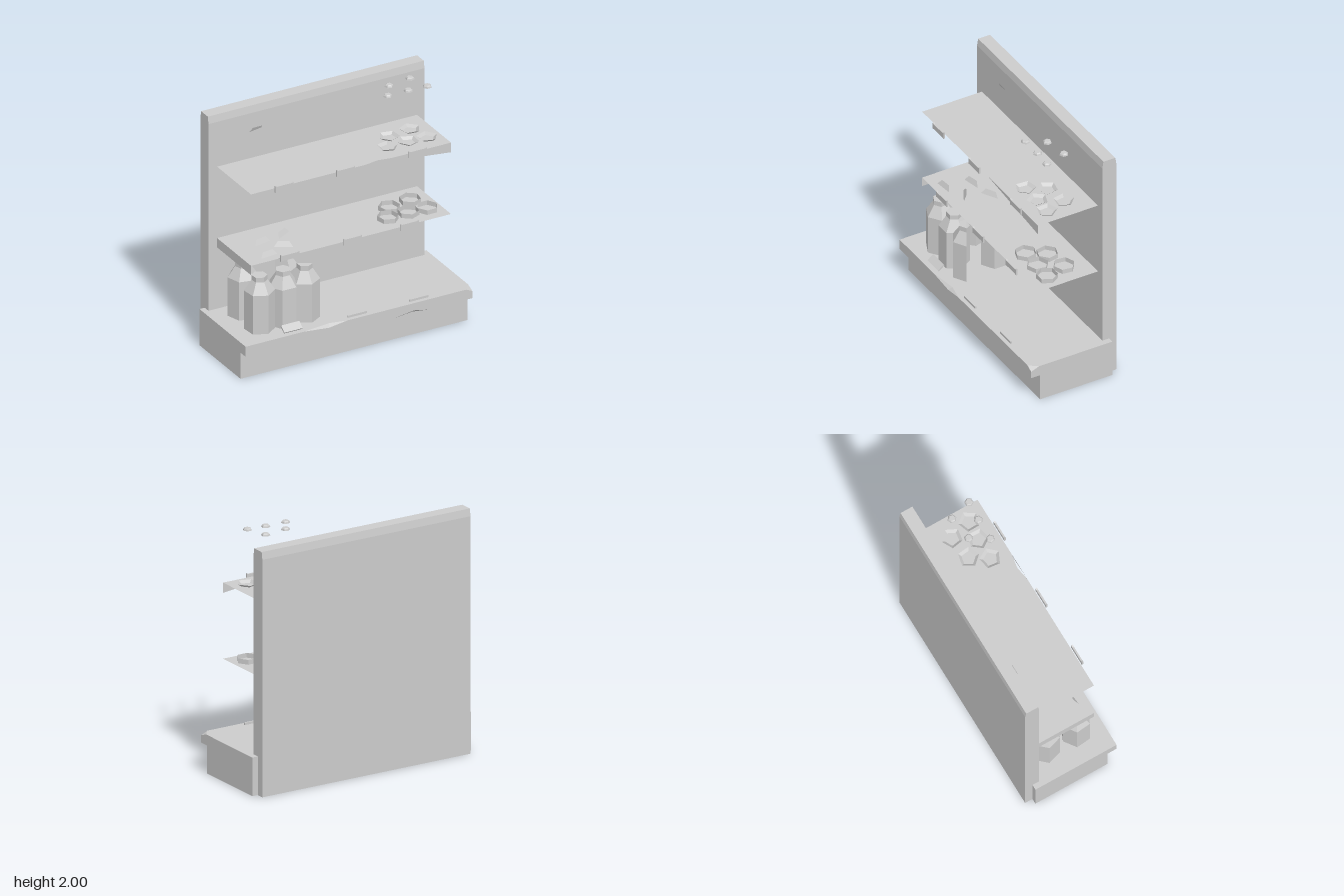
import * as THREE from 'three';

const mat = new THREE.MeshStandardMaterial({ color: 0xcccccc, flatShading: true, side: THREE.DoubleSide });

export function createModel() {
  const root = new THREE.Group();

  const add = (name, geo, x = 0, y = 0, z = 0, parent = root) => {
    const m = new THREE.Mesh(geo, mat);
    m.name = name;
    m.position.set(x, y, z);
    parent.add(m);
    return m;
  };

  // Flat polygon through coplanar 3D points; drop = axis ignored while triangulating
  const panel = (name, pts, drop, parent) => {
    const keep = [0, 1, 2].filter((a) => a !== drop);
    const flat = pts.map((p) => new THREE.Vector2(p[keep[0]], p[keep[1]]));
    const geo = new THREE.BufferGeometry();
    geo.setAttribute('position', new THREE.Float32BufferAttribute(pts.flat(), 3));
    // Keep the winding of the listed corners
    const cw = THREE.ShapeUtils.isClockWise(flat);
    if (cw) flat.reverse();
    const n = pts.length - 1;
    const tris = THREE.ShapeUtils.triangulateShape(flat, []);
    geo.setIndex(tris.flat().map((i) => (cw ? n - i : i)));
    const g = geo.toNonIndexed();
    g.computeVertexNormals();
    return add(name, g, 0, 0, 0, parent);
  };

  // Turned shape with few sides, from [radius, height] pairs
  const turned = (profile, sides, start = 0, sweep = Math.PI * 2) =>
    new THREE.LatheGeometry(profile.map((p) => new THREE.Vector2(...p)), sides, start, sweep);

  // Back wall with a small bevel along its top edges
  const wall = new THREE.Shape(
    [[0.27, 0], [0.27, 1.92], [0.28, 1.98], [0.385, 1.98], [0.395, 1.92], [0.395, 0]]
      .map((p) => new THREE.Vector2(...p)));
  const wallGeo = new THREE.ExtrudeGeometry(wall, { depth: 1.895, bevelEnabled: false });
  wallGeo.rotateY(Math.PI / 2);
  add('backWall', wallGeo, -0.955);

  // Plinth, hollow underneath, with chipped lip edges
  const base = new THREE.Group();
  base.name = 'base';
  root.add(base);
  const L = -1, R = 0.99, B = -0.33, F = 0.31, lipZ = 0.39, lipY = 0.225, top = 0.312;
  panel('baseTop', [[L, top, lipZ], [-0.49, top, lipZ], [-0.25, top, 0.36], [-0.11, top, lipZ],
    [0.935, top, lipZ], [R, top, 0.32], [R, top, B], [L, top, B]], 1, base);
  panel('lipFront', [[L, lipY, lipZ], [0.29, lipY, lipZ], [0.48, 0.25, lipZ], [0.6, lipY, lipZ],
    [R, lipY, lipZ], [R, 0.285, lipZ], [0.935, top, lipZ], [-0.11, top, lipZ], [-0.27, 0.29, lipZ],
    [-0.49, top, lipZ], [L, top, lipZ]], 2, base);
  panel('lipUnderside', [[L, lipY, F], [R, lipY, F], [R, lipY, lipZ], [0.6, lipY, lipZ],
    [0.48, lipY, 0.36], [0.29, lipY, lipZ], [L, lipY, lipZ]], 1, base);
  panel('baseFront', [[L, 0, F], [R, 0, F], [R, lipY, F], [L, lipY, F]], 2, base);
  panel('baseBack', [[R, 0, B], [L, 0, B], [L, top, B], [R, top, B]], 2, base);
  panel('baseLeftEnd', [[R, 0, F], [R, 0, B], [R, top, B], [R, top, 0.32], [R, 0.285, lipZ],
    [R, lipY, lipZ], [R, lipY, F]], 0, base);
  panel('baseRightEnd', [[L, 0, B], [L, 0, F], [L, lipY, F], [L, lipY, lipZ], [L, top, lipZ],
    [L, top, B]], 0, base);
  panel('cornerChip', [[0.935, top, lipZ], [R, 0.285, lipZ], [R, top, 0.32]], 2, base);
  const chip = (a, b, out, inn) => {
    panel('edgeChip', [a, out, inn], 0, base);
    panel('edgeChip', [b, inn, out], 0, base);
  };
  chip([-0.49, top, lipZ], [-0.11, top, lipZ], [-0.27, 0.29, lipZ], [-0.25, top, 0.36]);
  chip([0.29, lipY, lipZ], [0.6, lipY, lipZ], [0.48, 0.25, lipZ], [0.48, lipY, 0.36]);

  // Two thin shelves with the remains of their edges
  const sl = -0.88, sr = 0.875, sf = 0.26, sb = -0.27, y1 = 0.92, y2 = 1.535;
  panel('lowerShelf', [[sl, y1, sf], [sr, y1, sf], [sr, y1, sb], [sl, y1, sb]], 1);
  panel('lowerShelfEnd', [[sl, 0.84, sb], [sl, 0.84, sf], [sl, y1, sf], [sl, y1, sb]], 0);
  panel('upperShelf', [[sl, y2, sf], [0.13, y2, sf], [0.24, y2, 0.24], [0.36, y2, sf],
    [sr, y2, sf], [sr, y2, sb], [sl, y2, sb]], 1);
  panel('upperShelfEdge', [[0.12, y2, sf], [sr, 1.452, sf], [sr, y2, sf]], 2);

  // Waisted price tags on the shelf edges
  const tagShape = new THREE.Shape([[-0.08, -0.028], [-0.065, -0.022], [0.065, -0.022], [0.08, -0.028],
    [0.08, 0.028], [0.065, 0.022], [-0.065, 0.022], [-0.08, 0.028]].map((p) => new THREE.Vector2(...p)));
  const tagGeo = new THREE.ExtrudeGeometry(tagShape, { depth: 0.014, bevelEnabled: false });
  for (const x of [-0.6, -0.06, 0.57]) add('priceTag', tagGeo, x, 1.535, 0.27);
  for (const x of [-0.55, 0, 0.5]) add('priceTag', tagGeo, x, 0.927, 0.27);
  const tilted = add('tiltedTag', new THREE.BoxGeometry(0.16, 0.065, 0.013), -0.56, 0.34, 0.325);
  tilted.rotation.x = -0.9;
  for (const x of [0, 0.54]) add('tagSlot', new THREE.BoxGeometry(0.165, 0.018, 0.012), x, 0.321, 0.35);

  // Six-sided bottles on the plinth; two of them are only half shells
  const bottle = [[0.12, 0], [0.12, 0.33], [0.062, 0.42], [0.062, 0.46], [0, 0.46]];
  const whole = Math.PI * 2;
  for (const [x, z, start, sides] of [
    [-0.755, 0.17, 0.1, 6], [-0.55, 0.17, Math.PI / 6, 6], [-0.75, -0.1, 0.3, 6],
    [-0.36, 0.17, -2.1, 3], [-0.4, -0.1, 0, 3],
  ]) add('bottle', turned(bottle, sides, start, whole * sides / 6), x, 0.312, z);

  // Jar remains: rings on the lower shelf, flared dishes on the upper one, loose caps above
  [[0.41, 0.1], [0.59, 0.1], [0.75, 0.11], [0.5, -0.04], [0.7, -0.07]].forEach(([x, z], i) => {
    const turn = i * 0.7 + 0.2;
    add('jarRing', turned([[0.085, 0], [0.085, 0.038]], 6, turn), x, y1, z);
    add('jarDish', turned([[0.058, 0], [0.085, 0.02]], 5, turn), x, y2, z);
    add('jarCap', turned([[0.036, 0], [0.032, 0.012], [0.023, 0.02], [0, 0.02]], 6, turn), x, 1.98, z);
  });

  // Leaning shards on the lower shelf and one on the wall
  const shardGeo = new THREE.ShapeGeometry(new THREE.Shape([[-0.075, 0], [0.075, 0], [0.045, 0.045],
    [-0.045, 0.045]].map((p) => new THREE.Vector2(...p))));
  for (const [x, z, yaw] of [[-0.68, 0.19, 0.1], [-0.62, -0.02, 0.2], [-0.51, 0.11, -0.5], [-0.41, -0.06, 0.5]]) {
    const s = add('shard', shardGeo, x, y1, z);
    s.rotation.set(-0.5, yaw, 0, 'YXZ');
  }
  panel('wallShard', [[-0.6, 1.765, -0.262], [-0.5, 1.785, -0.253], [-0.5, 1.805, -0.243],
    [-0.58, 1.805, -0.243]], 2);

  return root;
}
